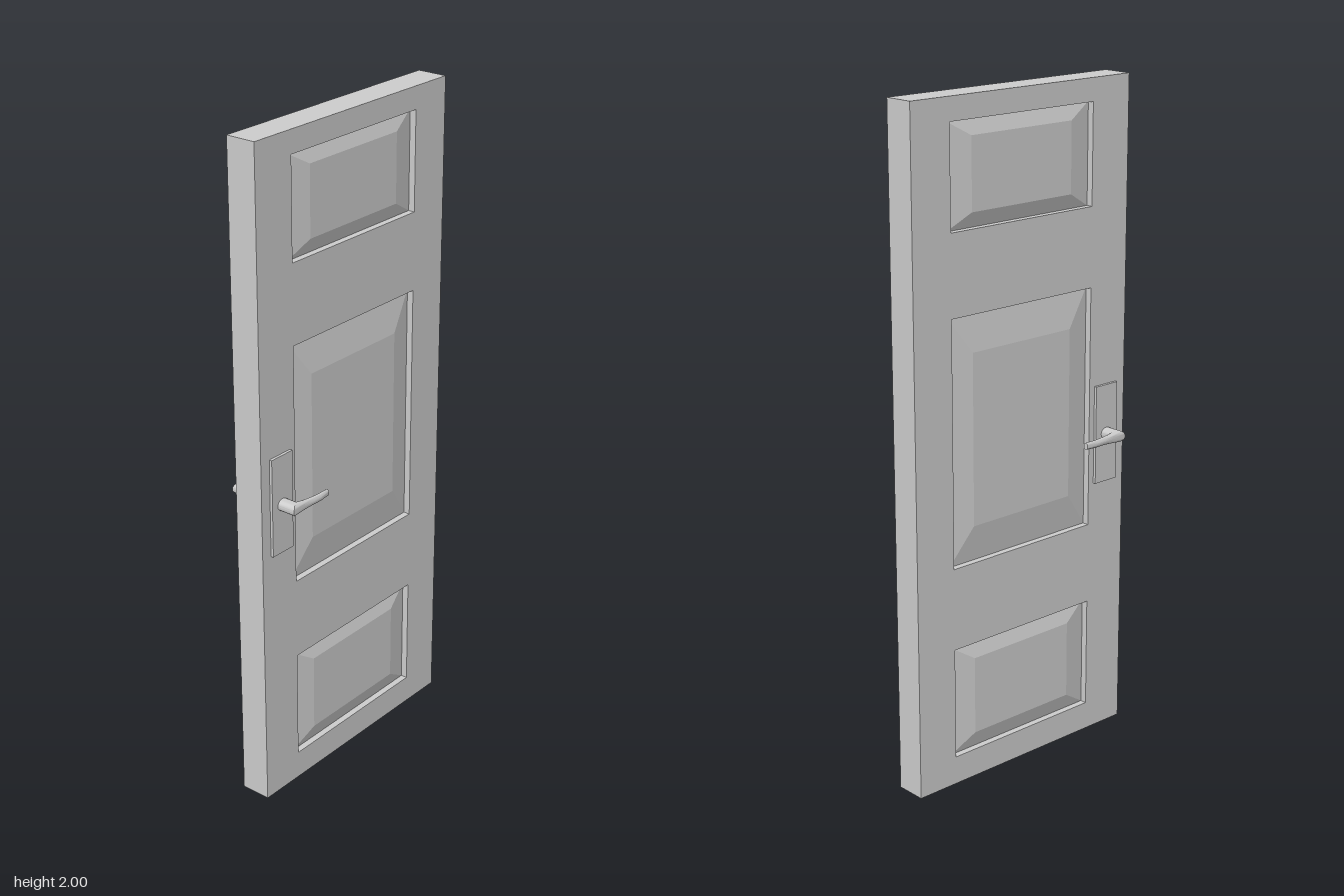
import * as THREE from 'three';
import { toCreasedNormals } from 'three/addons/utils/BufferGeometryUtils.js';

const WIDTH = 0.802, HEIGHT = 2, DEPTH = 0.093;
const RECESS = 0.02, BEVEL = 0.15;
const LEFT = -0.26, RIGHT = 0.267;
const PANELS = [
  { name: 'bottomPanel', y0: 0.086, y1: 0.425 },
  { name: 'middlePanel', y0: 0.673, y1: 1.4 },
  { name: 'topPanel', y0: 1.637, y1: 1.933 },
];

const grey = new THREE.MeshStandardMaterial({ color: 0xcccccc });

function addMesh(parent, name, geometry) {
  const mesh = new THREE.Mesh(geometry, grey);
  mesh.name = name;
  parent.add(mesh);
  return mesh;
}

function rect(Type, x0, y0, x1, y1) {
  return new Type([[x0, y0], [x1, y0], [x1, y1], [x0, y1]].map(([x, y]) => new THREE.Vector2(x, y)));
}

// Stiles and rails: one slab with three openings
function frameGeometry() {
  const shape = rect(THREE.Shape, -WIDTH / 2, 0, WIDTH / 2, HEIGHT);
  for (const p of PANELS) shape.holes.push(rect(THREE.Path, LEFT, p.y0, RIGHT, p.y1));
  return new THREE.ExtrudeGeometry(shape, { depth: DEPTH, bevelEnabled: false }).translate(0, 0, -DEPTH / 2);
}

// Raised field: a box whose front face is drawn in to make sloping borders
function fieldGeometry(w, h) {
  const floor = DEPTH / 2 - RECESS, rise = 0.0155;
  const geo = new THREE.BoxGeometry(w, h, rise);
  const pos = geo.attributes.position;
  for (let i = 0; i < pos.count; i++) {
    if (pos.getZ(i) > 0) {
      pos.setX(i, pos.getX(i) * (1 - 2 * BEVEL));
      pos.setY(i, pos.getY(i) * (1 - 2 * BEVEL));
    }
  }
  geo.translate(0, 0, floor + rise / 2);
  geo.computeVertexNormals();
  return geo;
}

// Lever: oval sections, each [outer x, outer z, inner x, inner z, height]
function leverGeometry() {
  const sections = [
    [-0.344, 0.05, -0.302, 0.05, 0.036],
    [-0.344, 0.114, -0.302, 0.088, 0.036],
    [-0.295, 0.1125, -0.283, 0.092, 0.028],
    [-0.258, 0.1145, -0.252, 0.095, 0.023],
    [-0.23, 0.1155, -0.225, 0.098, 0.022],
    [-0.191, 0.111, -0.188, 0.098, 0.021],
  ];
  const sides = 20, points = [], index = [];
  for (const [ox, oz, ix, iz, h] of sections) {
    for (let j = 0; j < sides; j++) {
      const t = (j / sides) * Math.PI * 2, c = Math.cos(t) / 2;
      points.push((ox + ix) / 2 + (ox - ix) * c, (h / 2) * Math.sin(t), (oz + iz) / 2 + (oz - iz) * c);
    }
  }
  const last = sections.length - 1;
  for (let j = 0; j < sides; j++) {
    const k = (j + 1) % sides;
    for (let i = 0; i < last; i++) {
      const a = i * sides, b = a + sides;
      index.push(a + j, b + k, a + k, a + j, b + j, b + k);
    }
    // Tip cap
    if (j > 0 && j < sides - 1) index.push(last * sides, last * sides + k, last * sides + j);
  }
  const geo = new THREE.BufferGeometry();
  geo.setAttribute('position', new THREE.Float32BufferAttribute(points, 3));
  geo.setIndex(index);
  return toCreasedNormals(geo, 0.7);
}

export function createModel() {
  const model = new THREE.Group();
  model.name = 'door';

  // The door stands ajar
  const leaf = new THREE.Group();
  leaf.name = 'doorLeaf';
  leaf.position.z = -0.015;
  leaf.rotation.y = Math.PI / 6;
  model.add(leaf);

  addMesh(leaf, 'frame', frameGeometry());

  // Panels and handles on both faces; the back is the front turned about x
  const lever = leverGeometry();
  const plate = new THREE.BoxGeometry(0.086, 0.3, 0.012).translate(-0.323, 0, 0.049);
  for (const [side, turn] of [['front', 0], ['back', Math.PI]]) {
    for (const p of PANELS) {
      const panel = addMesh(leaf, side + '_' + p.name, fieldGeometry(RIGHT - LEFT, p.y1 - p.y0));
      panel.position.set((LEFT + RIGHT) / 2, (p.y0 + p.y1) / 2, 0);
      panel.rotation.x = turn;
    }
    const handle = new THREE.Group();
    handle.name = side + 'Handle';
    handle.position.y = 0.95;
    handle.rotation.x = turn;
    addMesh(handle, 'handlePlate', plate);
    addMesh(handle, 'lever', lever);
    leaf.add(handle);
  }
  return model;
}
